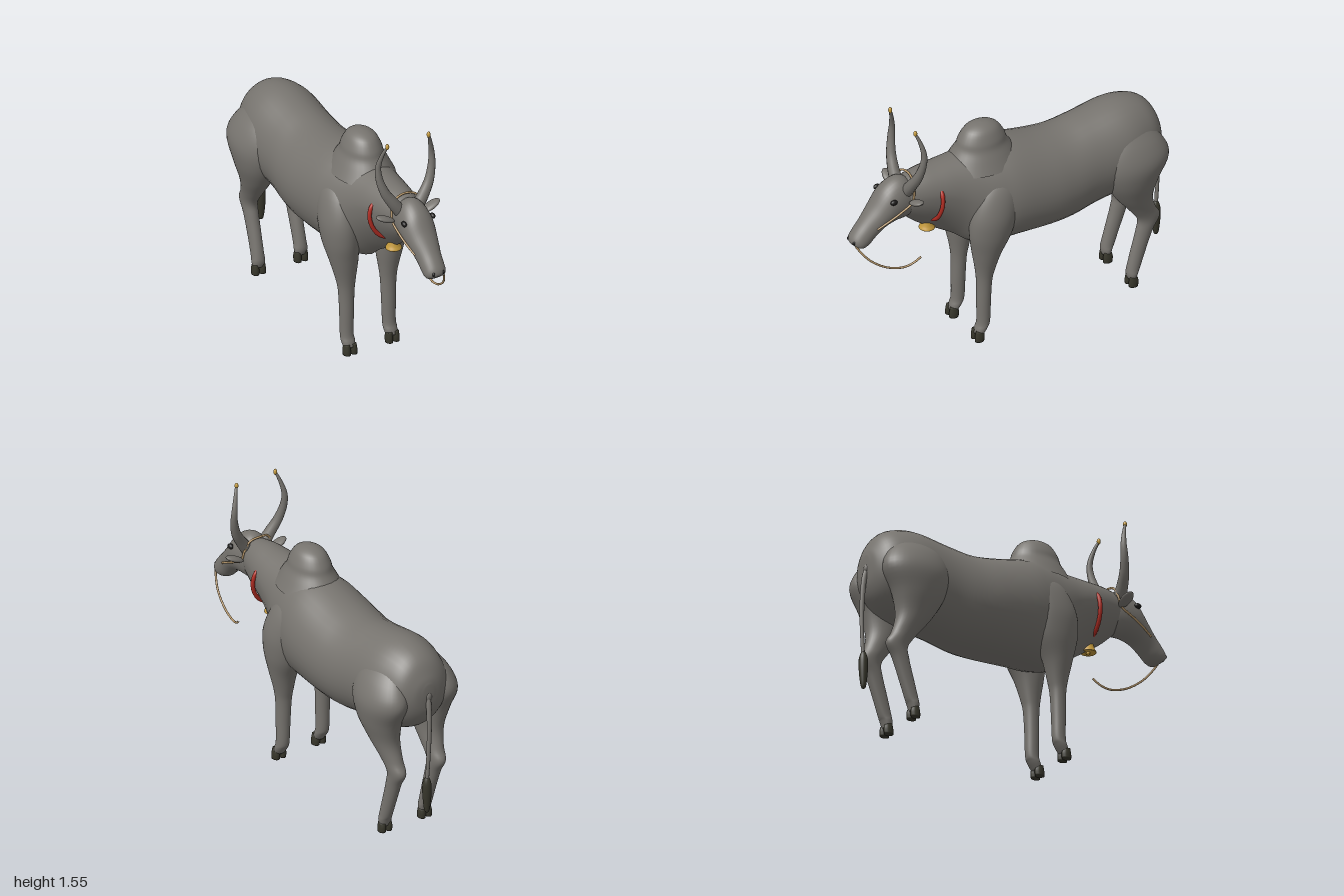
import * as THREE from 'three';

const mat = (name, color) => Object.assign(new THREE.MeshStandardMaterial({ color }), { name });
const V = (x, y, z) => new THREE.Vector3(x, y, z);

// Smooth skin through oval rings. Each ring spans two points of the side profile:
// [z1, y1, z2, y2, halfWidth, centreX, widest (0..1 from point 1 to 2), pinch toward point 2]
function loft(rings, steps = 5, sides = 36) {
  const full = rings.map(r => [...r, ...[0, 0.5, 1].slice(r.length - 5)]);
  const spline = new THREE.CubicInterpolant(
    new Float32Array(full.map((_, i) => i)), new Float32Array(full.flat()), 8);
  const pos = [], index = [], n = (full.length - 1) * steps;
  for (let i = 0; i <= n; i++) {
    const [z1, y1, z2, y2, w, cx, mid, pinch] = spline.evaluate(i / steps);
    for (let j = 0; j < sides; j++) {
      const a = j / sides * Math.PI * 2, c = Math.cos(a), s = Math.sin(a);
      const t = c > 0 ? mid * (1 - c) : mid - (1 - mid) * c;
      const u = Math.sign(s) * Math.abs(s) ** (c > 0 ? 1 : pinch);
      pos.push(cx + w * u, y1 + (y2 - y1) * t, z1 + (z2 - z1) * t);
      if (i < n) {
        const p = i * sides + j, q = i * sides + (j + 1) % sides;
        index.push(p, q, p + sides, q, q + sides, p + sides);
      }
    }
  }
  // close both ends
  for (const [row, flip] of [[0, false], [n, true]]) {
    const r = full[row ? full.length - 1 : 0], c = pos.length / 3;
    pos.push(r[5], (r[1] + r[3]) / 2, (r[0] + r[2]) / 2);
    for (let j = 0; j < sides; j++) {
      const p = row * sides + j, q = row * sides + (j + 1) % sides;
      index.push(...(flip ? [p, q, c] : [q, p, c]));
    }
  }
  // turn the faces outward
  let volume = 0;
  const at = i => V(pos[i * 3], pos[i * 3 + 1], pos[i * 3 + 2]);
  for (let i = 0; i < index.length; i += 3)
    volume += at(index[i]).dot(at(index[i + 1]).cross(at(index[i + 2])));
  if (volume < 0) index.reverse();
  const g = new THREE.BufferGeometry();
  g.setAttribute('position', new THREE.Float32BufferAttribute(pos, 3));
  g.setIndex(index);
  g.computeVertexNormals();
  return g;
}

// Tube along a curve; the radius may change from r0 to r1
function tube(points, r0, r1 = r0, segments = 40) {
  const curve = new THREE.CatmullRomCurve3(points.map(p => V(...p)));
  const g = new THREE.TubeGeometry(curve, segments, 1, 12, false);
  const p = g.attributes.position, v = V();
  for (let i = 0; i < p.count; i++) {
    const t = Math.floor(i / 13) / segments, c = curve.getPointAt(t);
    v.fromBufferAttribute(p, i).sub(c).multiplyScalar(r0 + (r1 - r0) * t).add(c);
    p.setXYZ(i, v.x, v.y, v.z);
  }
  return g;
}

const lathe = (pts, divisions = 24) => new THREE.LatheGeometry(
  new THREE.SplineCurve(pts.map(p => new THREE.Vector2(...p))).getPoints(divisions)
    .map(p => p.setX(Math.max(0, p.x))), 32);

export function createModel() {
  const model = new THREE.Group();
  const hide = mat('grey hide', 0x77746f), dark = mat('dark horn', 0x37362b);
  const black = mat('black', 0x1c1b1a), red = mat('red collar', 0xb02c22);
  const brass = mat('brass', 0xc49a3c), rope = mat('tan rope', 0xb5966a);
  const add = (name, geometry, material, position = [0, 0, 0], scale = [1, 1, 1]) => {
    const m = new THREE.Mesh(geometry, material);
    m.name = name;
    m.position.set(...position);
    m.scale.set(...scale);
    model.add(m);
    return m;
  };
  const ball = new THREE.SphereGeometry(1, 24, 16);

  // Trunk, neck and dewlap, from rump to throat
  const trunk = [
    [-0.97, 0.98, 0.90, 0.03], [-0.955, 1.03, 0.80, 0.10], [-0.91, 1.11, 0.72, 0.165],
    [-0.83, 1.16, 0.66, 0.205], [-0.70, 1.178, 0.62, 0.235], [-0.50, 1.15, 0.59, 0.235],
    [-0.35, 1.13, 0.565, 0.25], [-0.20, 1.145, 0.562, 0.262], [0, 1.19, 0.57, 0.258],
    [0.12, 1.2, 0.57, 0.238, 0.5, 1], [0.24, 1.19, 0.59, 0.2, 0.45, 1.2],
    [0.34, 1.185, 0.67, 0.165, 0.4, 1.6], [0.45, 1.18, 0.745, 0.14, 0.36, 2],
    [0.57, 1.175, 0.83, 0.115, 0.38, 1.8], [0.68, 1.15, 0.93, 0.08, 0.45, 1.2],
    [0.75, 1.1, 0.98, 0.03]];
  add('body', loft(trunk.map(([z, top, low, w, mid = 0.5, pinch = 1]) =>
    [z, top, z, low, w, 0, mid, pinch])), hide);

  add('hump', lathe([[0.23, 1.1], [0.185, 1.17], [0.152, 1.22], [0.136, 1.265],
    [0.1, 1.318], [0.05, 1.343], [0, 1.35]]), hide, [0, 0, 0.15], [0.76, 1, 1]);

  // Head, from poll to muzzle
  add('head', loft([
    [0.60, 1.10, 0.61, 0.99, 0.04], [0.645, 1.165, 0.62, 0.93, 0.08],
    [0.71, 1.18, 0.66, 0.912, 0.094], [0.79, 1.135, 0.735, 0.912, 0.097],
    [0.86, 1.04, 0.80, 0.893, 0.085], [0.92, 0.967, 0.85, 0.85, 0.071],
    [0.965, 0.915, 0.885, 0.816, 0.067], [0.99, 0.88, 0.92, 0.80, 0.062],
    [0.998, 0.855, 0.95, 0.805, 0.046], [0.993, 0.838, 0.97, 0.82, 0.018]]), hide);

  for (const s of [1, -1]) {
    const side = s > 0 ? 'left' : 'right';
    const leg = rings => loft(rings.map(r => [...r.slice(0, 5), s * r[5]]));

    add(side + 'FrontLeg', leg([
      [0.17, 1.10, 0.03, 1.10, 0.03, 0.11], [0.25, 1.0, 0, 1.0, 0.08, 0.145],
      [0.305, 0.86, 0.02, 0.85, 0.1, 0.163], [0.312, 0.73, 0.06, 0.70, 0.098, 0.158],
      [0.29, 0.60, 0.12, 0.57, 0.08, 0.145], [0.266, 0.47, 0.155, 0.45, 0.056, 0.136],
      [0.257, 0.38, 0.168, 0.38, 0.046, 0.134], [0.257, 0.25, 0.175, 0.25, 0.041, 0.134],
      [0.257, 0.12, 0.18, 0.12, 0.038, 0.135], [0.268, 0.075, 0.195, 0.08, 0.04, 0.135],
      [0.275, 0.045, 0.225, 0.035, 0.034, 0.135]]), hide);

    add(side + 'HindLeg', leg([
      [-0.62, 1.08, -0.84, 1.06, 0.05, 0.12], [-0.56, 0.98, -0.92, 0.96, 0.1, 0.15],
      [-0.54, 0.86, -0.95, 0.86, 0.122, 0.167], [-0.57, 0.74, -0.89, 0.73, 0.107, 0.165],
      [-0.635, 0.62, -0.86, 0.60, 0.08, 0.15], [-0.72, 0.51, -0.885, 0.49, 0.056, 0.139],
      [-0.78, 0.42, -0.918, 0.42, 0.045, 0.135], [-0.772, 0.34, -0.875, 0.34, 0.04, 0.134],
      [-0.74, 0.22, -0.83, 0.22, 0.037, 0.134], [-0.715, 0.12, -0.79, 0.11, 0.037, 0.135],
      [-0.71, 0.078, -0.775, 0.08, 0.04, 0.135], [-0.718, 0.045, -0.76, 0.035, 0.034, 0.135]]), hide);

    // Cloven hooves, two claws each
    for (const [name, z] of [['FrontHoof', 0.257], ['HindHoof', -0.738]])
      for (const c of [-1, 1]) {
        const x = s * 0.135 + c * 0.021;
        add(side + name, loft([
          [z + 0.026, 0, z - 0.03, 0, 0.021, x], [z + 0.026, 0.03, z - 0.032, 0.03, 0.021, x],
          [z + 0.02, 0.066, z - 0.028, 0.052, 0.017, x]], 4, 16), dark);
      }

    // Horns with brass tips
    add(side + 'Horn', tube([[s * 0.05, 1.1, 0.665], [s * 0.1, 1.17, 0.658],
      [s * 0.142, 1.24, 0.645], [s * 0.168, 1.33, 0.628], [s * 0.17, 1.4, 0.622],
      [s * 0.152, 1.48, 0.637], [s * 0.132, 1.535, 0.657]], 0.038, 0.007), hide);
    add(side + 'HornTip', ball, brass, [s * 0.132, 1.536, 0.656], [0.011, 0.018, 0.011]);

    const ear = add(side + 'Ear', ball, hide, [s * 0.145, 1.075, 0.655], [0.062, 0.016, 0.034]);
    ear.rotation.z = s * 0.42;
    add(side + 'Eye', ball, black, [s * 0.091, 1.085, 0.768], [0.014, 0.016, 0.021]);
    add(side + 'Nostril', ball, black, [s * 0.03, 0.855, 0.985], [0.009, 0.013, 0.012]);
  }

  // Tail with tuft
  add('tailRoot', ball, hide, [0, 0.905, -0.953], [0.026, 0.034, 0.024]);
  add('tail', tube([[0, 0.92, -0.95], [0.003, 0.86, -0.97], [0.008, 0.72, -0.983],
    [0.013, 0.55, -0.982], [0.016, 0.37, -0.972]], 0.016, 0.01), hide);
  add('tailTuft', lathe([[0, 0.178], [0.013, 0.19], [0.021, 0.24], [0.026, 0.31],
    [0.024, 0.365], [0.012, 0.4], [0, 0.405]]), dark, [0.016, 0, -0.971]);

  // Collar and bell
  const mirrored = half => [...half.slice(1).reverse().map(([x, y, z]) => [-x, y, z]), ...half];
  add('collar', tube(mirrored([[0, 0.84, 0.5], [0.085, 0.872, 0.496], [0.13, 0.935, 0.491],
    [0.145, 1.0, 0.485], [0.135, 1.05, 0.481], [0.115, 1.075, 0.479]]), 0.012, 0.012, 60), red);
  add('bell', lathe([[0, 0.772], [0.04, 0.766], [0.045, 0.772], [0.036, 0.79],
    [0.027, 0.82], [0.017, 0.845], [0, 0.85]]), brass, [0, 0, 0.5]);
  add('bellClapper', ball, brass, [0, 0.764, 0.5], [0.011, 0.011, 0.011]);

  // Halter and hanging lead rope
  add('halter', tube(mirrored([[0, 1.182, 0.622], [0.06, 1.168, 0.63], [0.092, 1.11, 0.638],
    [0.1, 1.05, 0.655], [0.1, 1.005, 0.73], [0.092, 0.968, 0.8], [0.076, 0.93, 0.865]]),
    0.006, 0.006, 80), rope);
  add('leadRope', tube([[0.035, 0.84, 0.985], [0.055, 0.79, 0.955], [0.076, 0.73, 0.905],
    [0.095, 0.665, 0.81], [0.11, 0.642, 0.715], [0.125, 0.662, 0.66], [0.14, 0.697, 0.622]],
    0.006), rope);

  return model;
}
